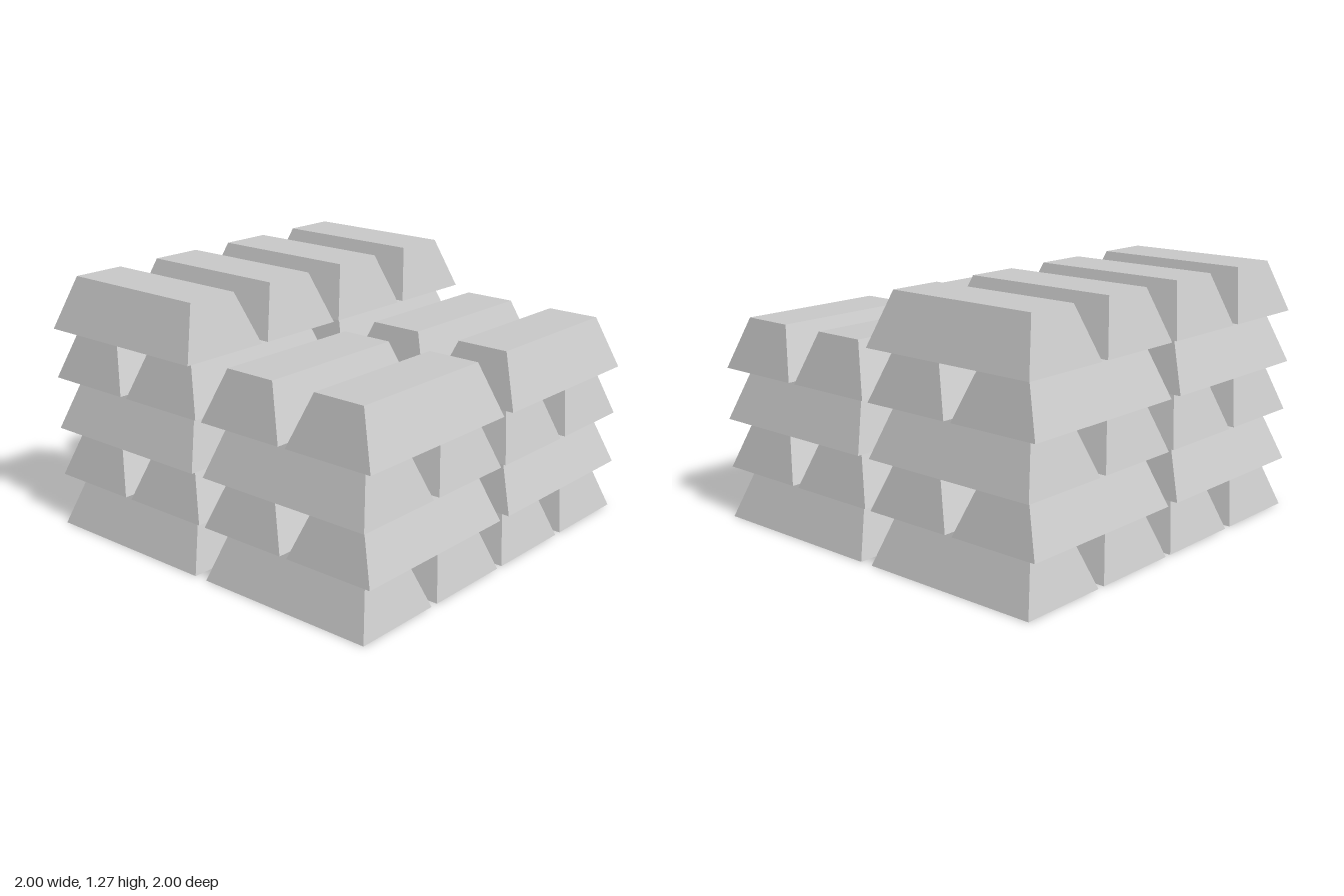
import * as THREE from 'three';

const HEIGHT = 0.255;               // one layer
const BASE = [0.47, 0.945];         // bar width and length at the bottom
const TOP = [0.27, 0.792];          // bar width and length at the top
const STACK = 0.508;                // stack centre from the middle
const PAIR = 0.255;                 // bar centre from the stack centre

// Tapered bar lying along z, standing on y = 0
function barGeometry() {
  const geo = new THREE.BoxGeometry(BASE[0], HEIGHT, BASE[1]);
  geo.translate(0, HEIGHT / 2, 0);
  const pos = geo.attributes.position;
  for (let i = 0; i < pos.count; i++) {
    if (pos.getY(i) < HEIGHT / 2) continue;
    pos.setX(i, pos.getX(i) * TOP[0] / BASE[0]);
    pos.setZ(i, pos.getZ(i) * TOP[1] / BASE[1]);
  }
  geo.computeVertexNormals();
  return geo;
}

// Pairs of bars, turned a quarter on every other layer
function createStack(name, layers, geo, mat) {
  const stack = new THREE.Group();
  stack.name = name;
  for (let k = 0; k < layers; k++) {
    const layer = new THREE.Group();
    layer.name = `layer${k + 1}`;
    layer.position.y = k * HEIGHT;
    layer.rotation.y = k % 2 ? Math.PI / 2 : 0;
    for (const side of [-1, 1]) {
      const bar = new THREE.Mesh(geo, mat);
      bar.name = 'bar';
      bar.position.x = side * PAIR;
      layer.add(bar);
    }
    stack.add(layer);
  }
  return stack;
}

export function createModel() {
  const model = new THREE.Group();
  model.name = 'stackedBars';
  const geo = barGeometry();
  const mat = new THREE.MeshStandardMaterial({ color: 0xcccccc, flatShading: true });

  // Four stacks; the back two are one layer taller
  for (const [row, z, layers] of [['front', 1, 4], ['back', -1, 5]]) {
    for (const [side, x] of [['Left', 1], ['Right', -1]]) {
      const stack = createStack(`${row}${side}Stack`, layers, geo, mat);
      stack.position.set(x * STACK, 0, z * STACK);
      model.add(stack);
    }
  }
  return model;
}
